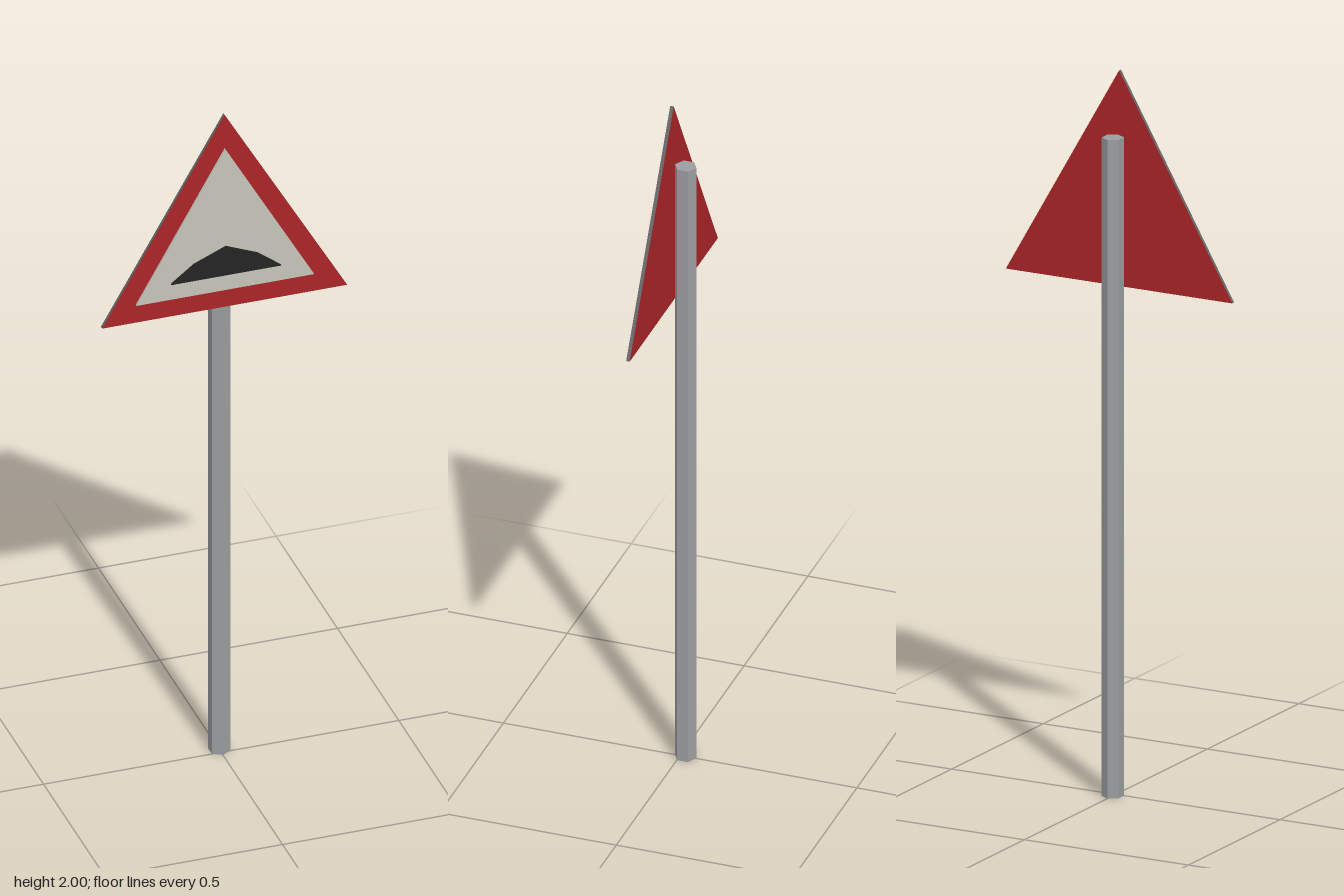
import * as THREE from 'three';

const mat = (name, color) => {
  const m = new THREE.MeshStandardMaterial({ color });
  m.name = name;
  return m;
};

// Flat plate with the given outline, from z0 to z1; separate face and edge materials
function plate(name, points, z0, z1, face, edge) {
  const shape = new THREE.Shape(points.map(([x, y]) => new THREE.Vector2(x, y)));
  const geo = new THREE.ExtrudeGeometry(shape, { depth: z1 - z0, bevelEnabled: false });
  geo.translate(0, 0, z0);
  const mesh = new THREE.Mesh(geo, [face, edge]);
  mesh.name = name;
  return mesh;
}

const triangle = (half, bottom, top) => [[-half, bottom], [half, bottom], [0, top]];

export function createModel() {
  const steel = mat('poleGrey', 0x9c9da0);
  steel.flatShading = true;
  const darkEdge = mat('edgeGrey', 0x67676a);
  const red = mat('signRed', 0xab2426);
  const white = mat('signWhite', 0xc6c4ba);
  const black = mat('symbolBlack', 0x242424);

  const group = new THREE.Group();
  group.name = 'roadSign';

  // Hexagonal pole
  const pole = new THREE.Mesh(new THREE.CylinderGeometry(0.03, 0.03, 1.823, 6), steel);
  pole.position.set(0, 1.823 / 2, -0.016);
  pole.name = 'pole';
  group.add(pole);

  // Red warning triangle, pale panel and bump symbol, stacked forwards
  const bump = [[-0.155, 1.51], [0.155, 1.51], [0.09, 1.56], [0, 1.598], [-0.09, 1.56]];
  group.add(
    plate('warningTriangle', triangle(0.345, 1.403, 2), 0.018, 0.028, red, darkEdge),
    plate('innerPanel', triangle(0.25, 1.459, 1.897), 0.028, 0.035, white, white),
    plate('bumpSymbol', bump, 0.037, 0.044, black, black),
  );
  return group;
}
